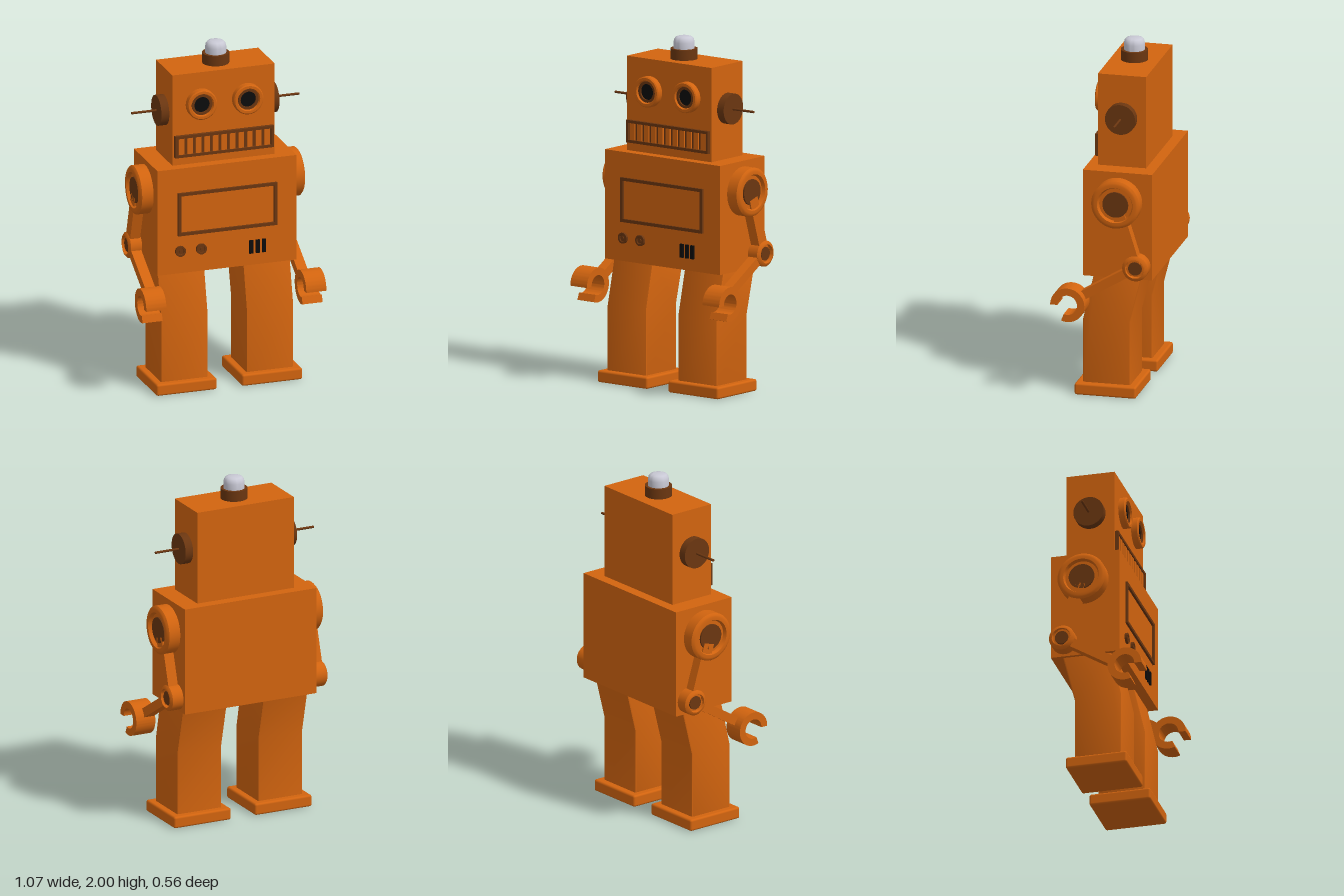
import * as THREE from 'three';
import { toCreasedNormals } from 'three/addons/utils/BufferGeometryUtils.js';
import { RoundedBoxGeometry } from 'three/addons/geometries/RoundedBoxGeometry.js';

const paint = (color) => new THREE.MeshStandardMaterial({ color });

export function createModel() {
  const robot = new THREE.Group();
  const orange = paint(0xd2640f), brown = paint(0x6b3610), black = paint(0x0c0c0c), white = paint(0xc8c8d4);

  function add(name, geometry, material, x = 0, y = 0, z = 0) {
    const mesh = new THREE.Mesh(geometry, material);
    mesh.name = name;
    mesh.position.set(x, y, z);
    robot.add(mesh);
    return mesh;
  }
  // Box given by its limits on each axis
  const block = (name, mat, x0, x1, y0, y1, z0, z1) =>
    add(name, new THREE.BoxGeometry(x1 - x0, y1 - y0, z1 - z0), mat, (x0 + x1) / 2, (y0 + y1) / 2, (z0 + z1) / 2);
  // Turned part: profile of [radius, height] from bottom to top
  const turned = (profile, segments = 40) =>
    toCreasedNormals(new THREE.LatheGeometry(profile.map(([r, h]) => new THREE.Vector2(r, h)), segments), 0.6);
  const sideways = (profile, s) => turned(profile).rotateZ(-s * Math.PI / 2);
  const forward = (profile) => turned(profile).rotateX(Math.PI / 2);
  // Shape drawn in (z, y), extruded along x and centred there
  function sideExtrude(shape, width, bevel) {
    const depth = width - 2 * bevel;
    const geo = new THREE.ExtrudeGeometry(shape, {
      depth, curveSegments: 32, bevelEnabled: bevel > 0,
      bevelSize: bevel, bevelThickness: bevel, bevelOffset: -bevel, bevelSegments: 2,
    });
    return toCreasedNormals(geo.translate(0, 0, -depth / 2).rotateY(-Math.PI / 2), 0.5);
  }
  function frame(name, x, y0, y1, border, z, depth) {
    const rect = (P, inset) => {
      const p = new P();
      p.moveTo(-x + inset, y0 + inset).lineTo(x - inset, y0 + inset);
      p.lineTo(x - inset, y1 - inset).lineTo(-x + inset, y1 - inset).closePath();
      return p;
    };
    const shape = rect(THREE.Shape, 0);
    shape.holes.push(rect(THREE.Path, border));
    add(name, new THREE.ExtrudeGeometry(shape, { depth, bevelEnabled: false }), brown, 0, 0, z);
  }

  // Torso and head
  block('torso', orange, -0.415, 0.415, 0.705, 1.33, -0.282, 0.12);
  block('head', orange, -0.305, 0.305, 1.33, 1.87, -0.22, 0.06);

  // Lamp on top of the head
  add('lampBase', turned([[0.077, 0], [0.077, 0.06], [0, 0.06]]), brown, 0, 1.87, -0.075);
  add('lampBulb', turned([[0.06, 0], [0.06, 0.035], [0.056, 0.053], [0.046, 0.065], [0.03, 0.07], [0, 0.07]]),
    white, 0, 1.93, -0.075);

  // Eyes, each a rim around a recessed brown ring and black pupil
  for (const s of [-1, 1]) {
    add('eyeRim', forward([[0.088, 0], [0.088, 0.034], [0.082, 0.04], [0.067, 0.04], [0.06, 0.022], [0.06, 0]]),
      orange, s * 0.138, 1.685, 0.06);
    add('eyeRing', forward([[0.061, 0], [0.061, 0.03], [0.046, 0.03], [0.046, 0]]), brown, s * 0.138, 1.685, 0.06);
    add('pupil', forward([[0.047, 0], [0.047, 0.02], [0, 0.02]]), black, s * 0.138, 1.685, 0.06);
  }

  // Mouth grille
  block('mouthBack', brown, -0.29, 0.29, 1.385, 1.5, 0.05, 0.064);
  frame('mouthFrame', 0.295, 1.378, 1.507, 0.016, 0.06, 0.02);
  for (let i = 0; i < 11; i++) {
    const x = -0.255 + i * 0.051;
    block('mouthBar', orange, x - 0.016, x + 0.016, 1.394, 1.491, 0.06, 0.074);
  }

  // Chest panel, knobs and vents
  frame('chestFrame', 0.295, 0.93, 1.185, 0.018, 0.12, 0.013);
  for (const x of [-0.28, -0.155]) {
    add('knob', forward([[0.031, 0], [0.031, 0.014], [0.02, 0.014], [0.018, 0.008], [0.01, 0.008], [0.01, 0.014], [0, 0.014]]),
      brown, x, 0.838, 0.12);
  }
  for (const x of [0.143, 0.181, 0.219]) block('vent', black, x - 0.011, x + 0.011, 0.775, 0.853, 0.115, 0.13);

  // Joint: rounded ring with a recessed centre cap, facing outwards
  function joint(name, s, x, y, z, r, h) {
    add(name, sideways([[0, 0], [r, 0], [r, h - 0.012], [r - 0.01, h - 0.003], [r - 0.02, h], [r * 0.74, h],
      [r * 0.68, h - 0.02], [0, h - 0.02]], s), orange, s * x, y, z);
    add(name + 'Cap', sideways([[r * 0.53, 0], [r * 0.53, h - 0.01], [0, h - 0.01]], s), brown, s * x, y, z);
  }
  // Straight bar between two (y, z) points
  function bar(name, x, w, t, [y0, z0], [y1, z1]) {
    const dy = y1 - y0, dz = z1 - z0;
    add(name, new THREE.BoxGeometry(w, Math.hypot(dy, dz), t), orange, x, (y0 + y1) / 2, (z0 + z1) / 2)
      .rotation.x = Math.atan2(dz, dy);
  }

  // Claw: open ring with its gap facing forward and down
  const claw = new THREE.Shape();
  claw.absarc(0, 0, 0.099, -0.03, -1.2 + Math.PI * 2, false);
  claw.absarc(0, 0, 0.057, -1.2 + Math.PI * 2, -0.03, true);
  claw.closePath();

  // Leg: straight shin, thigh leaning back
  const leg = new THREE.Shape([[-0.15, 0.05], [0.125, 0.05], [0.125, 0.44], [0.06, 0.72], [-0.221, 0.72], [-0.15, 0.44]]
    .map(([z, y]) => new THREE.Vector2(z, y)));

  for (const s of [-1, 1]) {
    // Ears and antennas
    add('ear', sideways([[0.088, 0], [0.088, 0.047], [0, 0.047]], s), brown, s * 0.305, 1.62, -0.08);
    add('antenna', new THREE.CylinderGeometry(0.007, 0.007, 0.16, 12).rotateZ(Math.PI / 2), brown, s * 0.42, 1.62, -0.08);

    // Arms
    joint('shoulder', s, 0.412, 1.158, -0.085, 0.14, 0.083);
    bar('upperArm', s * 0.455, 0.06, 0.07, [1.12, -0.097], [0.8, -0.197]);
    joint('elbow', s, 0.42, 0.79, -0.2, 0.074, 0.078);
    bar('forearm', s * 0.455, 0.06, 0.052, [0.79, -0.2], [0.602, 0.112]);
    add('claw', sideExtrude(claw, 0.12, 0), orange, s * 0.477, 0.56, 0.18);

    // Legs and feet
    add('leg', sideExtrude(leg, 0.28, 0.008), orange, s * 0.255, 0, 0);
    add('foot', new RoundedBoxGeometry(0.36, 0.068, 0.356, 2, 0.012), orange, s * 0.255, 0.034, -0.013);
  }
  return robot;
}
